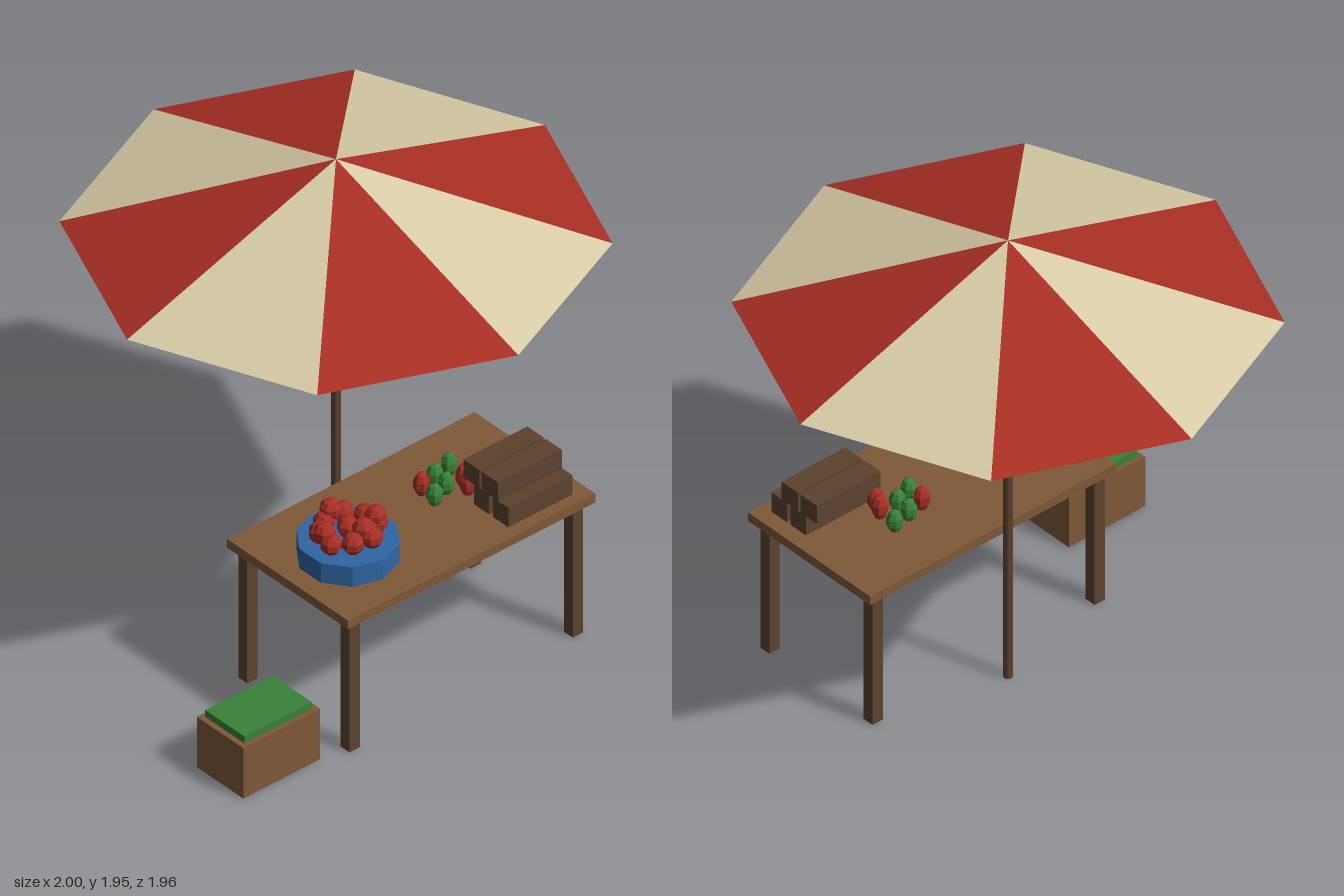
import * as THREE from 'three';

const mat = (name, color) => {
  const m = new THREE.MeshStandardMaterial({ color });
  m.name = name;
  m.flatShading = true;
  return m;
};

export function createModel() {
  const cream = mat('cream cloth', 0xd8cca6);
  const red = mat('red', 0xa82f25);
  const wood = mat('light wood', 0x7f5937);
  const darkWood = mat('dark wood', 0x5c422e);
  const blue = mat('blue', 0x2f66a4);
  const green = mat('green', 0x388238);
  cream.side = red.side = THREE.DoubleSide;

  const root = new THREE.Group();
  root.name = 'marketStall';

  const add = (name, geometry, material, x, y, z, parent = root) => {
    const mesh = new THREE.Mesh(geometry, material);
    mesh.name = name;
    mesh.position.set(x, y, z);
    parent.add(mesh);
    return mesh;
  };
  // Box given by its limits on each axis
  const box = (name, material, [x0, x1], [y0, y1], [z0, z1], parent = root) =>
    add(name, new THREE.BoxGeometry(x1 - x0, y1 - y0, z1 - z0), material,
      (x0 + x1) / 2, (y0 + y1) / 2, (z0 + z1) / 2, parent);
  const group = (name) => {
    const g = new THREE.Group();
    g.name = name;
    root.add(g);
    return g;
  };

  // Parasol: eight open panels in alternating colours on a slim pole
  const parasol = group('parasol');
  for (let i = 0; i < 8; i++) {
    const panel = new THREE.ConeGeometry(0.98, 0.32, 1, 1, true, i * Math.PI / 4, Math.PI / 4);
    add('canopyPanel', panel, i % 2 ? red : cream, 0.015, 1.785, 0, parasol);
  }
  add('pole', new THREE.CylinderGeometry(0.018, 0.018, 1.77, 8), darkWood, 0.015, 0.885, 0, parasol);

  // Table
  const table = group('table');
  box('tableTop', wood, [-0.565, 0.595], [0.567, 0.605], [0.08, 0.73], table);
  for (const x of [-0.535, 0.513])
    for (const z of [0.105, 0.655])
      box('tableLeg', darkWood, [x, x + 0.048], [0, 0.567], [z, z + 0.048], table);

  // Crate of greens on the ground
  const crate = group('groundCrate');
  box('crateBody', wood, [-1, -0.64], [0, 0.22], [0.415, 0.665], crate);
  box('greens', green, [-0.978, -0.662], [0.22, 0.25], [0.435, 0.645], crate);

  // Blue basin heaped with tomatoes
  const basin = group('tomatoBasin');
  add('basin', new THREE.CylinderGeometry(0.187, 0.187, 0.085, 10), blue, -0.31, 0.6475, 0.437, basin);
  const tomato = new THREE.SphereGeometry(0.042, 7, 5);
  const spots = [[0, 0.735, 0], [-0.11, 0.76, 0], [0, 0.76, -0.095], [0.095, 0.76, 0.04], [0.02, 0.75, 0.06]];
  for (let i = 0; i < 8; i++) {
    const a = i * Math.PI / 4 + 0.3;
    spots.push([0.108 * Math.sin(a), 0.722 + 0.008 * (i % 2), 0.095 * Math.cos(a)]);
  }
  spots.forEach(([x, y, z], i) => {
    add('tomato', tomato, red, x - 0.31, y, z + 0.437, basin).rotation.y = i * 0.7;
  });

  // Peppers standing loose on the table
  const peppers = group('peppers');
  const pepper = new THREE.SphereGeometry(0.032, 7, 5);
  const pepperSpots = [
    [0.12, 0.41, green], [0.195, 0.385, green], [0.2, 0.32, green], [0.28, 0.305, green],
    [0.125, 0.335, red], [0.25, 0.44, red], [0.27, 0.395, red],
  ];
  pepperSpots.forEach(([x, z, material], i) => {
    const h = material === red ? 0.052 : 0.048;
    const p = add('pepper', pepper, material, x, 0.605 + h, z, peppers);
    p.scale.y = h / 0.032;
    p.rotation.y = i * 0.5;
  });

  // Stacked wooden boxes: two below, two above
  const stack = group('boxStack');
  for (const z of [0.495, 0.598])
    box('lowerBox', darkWood, [0.23, 0.53], [0.605, 0.69], [z, z + 0.082], stack);
  for (const z of [0.438, 0.537])
    box('upperBox', darkWood, [0.23, 0.53], [0.69, 0.77], [z, z + 0.088], stack);

  return root;
}
